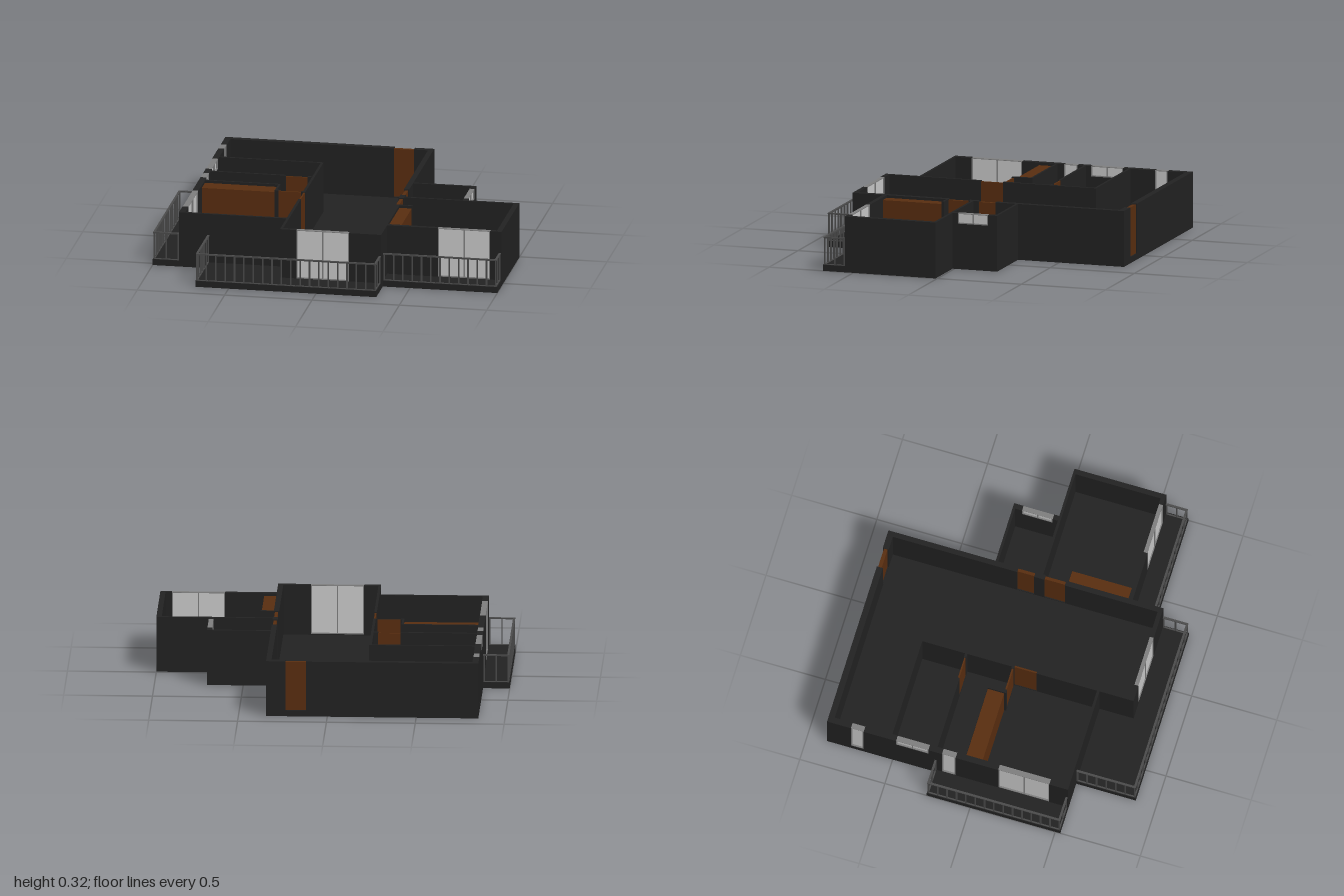
import * as THREE from 'three';

const mat = (name, color) => {
  const m = new THREE.MeshStandardMaterial({ color });
  m.name = name;
  return m;
};

export function createModel() {
  const model = new THREE.Group();
  model.name = 'apartment';
  const dark = mat('dark wall', 0x222222);
  const brown = mat('brown wood', 0x5a2e10);
  const glass = mat('pale glass', 0xcccccc);
  const frameGrey = mat('frame grey', 0x808080);
  const railGrey = mat('railing grey', 0x4c4c4c);
  const baseGrey = mat('base grey', 0xb8b8b8);

  const H = 0.32, FLOOR = 0.035;

  // Box given by its two opposite corners
  const box = (name, material, x0, x1, y0, y1, z0, z1, parent = model) => {
    const mesh = new THREE.Mesh(new THREE.BoxGeometry(x1 - x0, y1 - y0, z1 - z0), material);
    mesh.position.set((x0 + x1) / 2, (y0 + y1) / 2, (z0 + z1) / 2);
    mesh.name = name;
    parent.add(mesh);
  };

  // Straight wall with openings [kind, start, end, sill] along its long side
  const wall = (name, x0, x1, z0, z1, openings = [], bottom = 0) => {
    const g = new THREE.Group();
    g.name = name;
    model.add(g);
    const alongX = x1 - x0 > z1 - z0;
    const [s, e] = alongX ? [x0, x1] : [z0, z1];
    const [t0, t1] = alongX ? [z0, z1] : [x0, x1];
    const mid = (t0 + t1) / 2, t = t1 - t0;
    const part = (n, m, a, b, y0, y1, thick = t) => alongX
      ? box(n, m, a, b, y0, y1, mid - thick / 2, mid + thick / 2, g)
      : box(n, m, mid - thick / 2, mid + thick / 2, y0, y1, a, b, g);
    let at = s;
    for (const [kind, a, b, sill = FLOOR] of openings) {
      part('wallPanel', dark, at, a, bottom, H);
      part('sill', dark, a, b, bottom, sill);
      if (kind === 'door') {
        part('door', brown, a, b, sill, H - 0.005, t * 0.6);
      } else {
        const f = 0.006, c = (a + b) / 2;
        part('glassPane', glass, a, b, sill, H - 0.002, t * 0.4);
        part('frameBottom', frameGrey, a, b, sill, sill + f, t * 0.9);
        part('frameTop', frameGrey, a, b, H - 0.004, H, t * 0.9);
        for (const p of b - a > 0.1 ? [a + f / 2, c, b - f / 2] : [a + f / 2, b - f / 2])
          part('frameUpright', frameGrey, p - f / 2, p + f / 2, sill, H, t * 0.9);
      }
      at = b;
    }
    part('wallPanel', dark, at, e, bottom, H);
  };

  // Floor with a pale underside, fitted inside the outer walls
  const outline = [[-0.815, -0.85], [0.315, -0.85], [0.315, 0.025], [0.97, 0.025], [0.97, 0.525],
    [0.315, 0.525], [0.315, 0.705], [-0.22, 0.705], [-0.22, 0.515], [-0.815, 0.515]];
  const shape = new THREE.Shape(outline.map(([x, z]) => new THREE.Vector2(x, z)));
  const slab = (name, material, top, depth) => {
    const geo = new THREE.ExtrudeGeometry(shape, { depth, bevelEnabled: false }).rotateX(Math.PI / 2);
    const mesh = new THREE.Mesh(geo, material);
    mesh.position.y = top;
    mesh.name = name;
    model.add(mesh);
  };
  slab('floor', dark, 0.03, 0.026);
  slab('floorUnderside', baseGrey, 0.004, 0.004);
  box('smallRoomFloor', dark, 0.33, 0.69, 0, 0.03, -0.25, 0.02);

  // Outer walls
  wall('backWall', -0.85, 0.345, -0.885, -0.85, [['door', 0.12, 0.235]]);
  wall('rightSideWall', -0.85, -0.815, -0.885, 0.53, [
    ['window', -0.745, -0.67], ['window', -0.48, -0.29, 0.26],
    ['window', -0.21, -0.13], ['window', 0.12, 0.42]]);
  wall('bedroomFrontWall', -0.85, -0.22, 0.515, 0.53);
  wall('hallFrontWall', -0.235, 0.345, 0.705, 0.73, [['window', -0.14, 0.16]]);
  wall('hallFrontSideWall', -0.235, -0.22, 0.515, 0.73);
  wall('hallBackSideWall', 0.315, 0.345, -0.885, 0.025, [['door', -0.12, -0.02]]);
  wall('hallInnerWall', 0.315, 0.345, 0.025, 0.525, [['door', 0.04, 0.16]], 0.02);
  wall('hallEndSideWall', 0.315, 0.345, 0.525, 0.73);
  wall('smallRoomBackWall', 0.345, 0.705, -0.255, -0.24);
  wall('smallRoomSideWall', 0.675, 0.705, -0.255, 0.02, [['window', -0.2, -0.02, 0.26]]);
  wall('largeRoomBackWall', 0.345, 1, 0.01, 0.025);
  wall('largeRoomSideWall', 0.97, 1, 0.01, 0.55);
  wall('largeRoomFrontWall', 0.345, 1, 0.525, 0.55, [['window', 0.635, 0.935]]);

  // Inner partitions
  wall('kitchenPartition', -0.82, -0.22, -0.525, -0.511, [], 0.02);
  wall('bathPartition', -0.82, -0.22, -0.26, -0.246, [['door', -0.385, -0.26]], 0.02);
  wall('hallPartition', -0.235, -0.22, -0.525, 0.52, [['door', 0.03, 0.16]], 0.02);
  wall('wardrobeBackPartition', -0.82, -0.385, -0.09, -0.078, [], 0.02);
  wall('wardrobeEndPartition', -0.396, -0.384, -0.09, 0.03, [], 0.02);
  wall('bedroomPartition', -0.39, -0.22, 0.015, 0.03, [['door', -0.375, -0.245]], 0.02);
  wall('nichePartition', 0.34, 0.42, 0.16, 0.173, [], 0.02);

  // Wardrobes
  box('bedroomWardrobe', brown, -0.815, -0.396, 0.03, 0.305, -0.078, 0.018);
  box('largeRoomWardrobe', brown, 0.33, 0.415, 0.03, 0.305, 0.173, 0.525);

  // Balcony slabs
  box('sideBalconySlab', dark, -1, -0.85, 0, FLOOR, -0.255, 0.53);
  box('frontBalconySlab', dark, -0.69, -0.235, 0, FLOOR, 0.53, 0.88);
  box('frontBalconySlab', dark, -0.235, 0.345, 0, FLOOR, 0.73, 0.88);
  box('leftBalconySlab', dark, 0.345, 1, 0, FLOOR, 0.55, 0.68);

  // Railing along a path: top rail, foot rail and evenly spaced bars
  const railing = (name, path) => {
    const g = new THREE.Group();
    g.name = name;
    model.add(g);
    const r = 0.004, top = 0.195;
    for (let i = 0; i < path.length - 1; i++) {
      const [ax, az] = path[i], [bx, bz] = path[i + 1];
      const x0 = Math.min(ax, bx), x1 = Math.max(ax, bx), z0 = Math.min(az, bz), z1 = Math.max(az, bz);
      box('topRail', railGrey, x0 - 0.006, x1 + 0.006, top - 0.008, top, z0 - 0.006, z1 + 0.006, g);
      box('footRail', railGrey, x0 - r, x1 + r, FLOOR, FLOOR + 0.004, z0 - r, z1 + r, g);
      const n = Math.max(1, Math.round((x1 - x0 + z1 - z0) / 0.055));
      for (let k = 0; k <= n; k++) {
        const x = ax + (bx - ax) * k / n, z = az + (bz - az) * k / n;
        box('bar', railGrey, x - r, x + r, FLOOR, top - 0.008, z - r, z + r, g);
      }
    }
  };
  railing('sideBalconyRailing', [[-0.855, -0.247], [-0.992, -0.247], [-0.992, 0.522], [-0.855, 0.522]]);
  railing('frontBalconyRailing', [[-0.682, 0.535], [-0.682, 0.872], [0.337, 0.872], [0.337, 0.735]]);
  railing('leftBalconyRailing', [[0.352, 0.672], [0.99, 0.672], [0.99, 0.555]]);

  return model;
}
